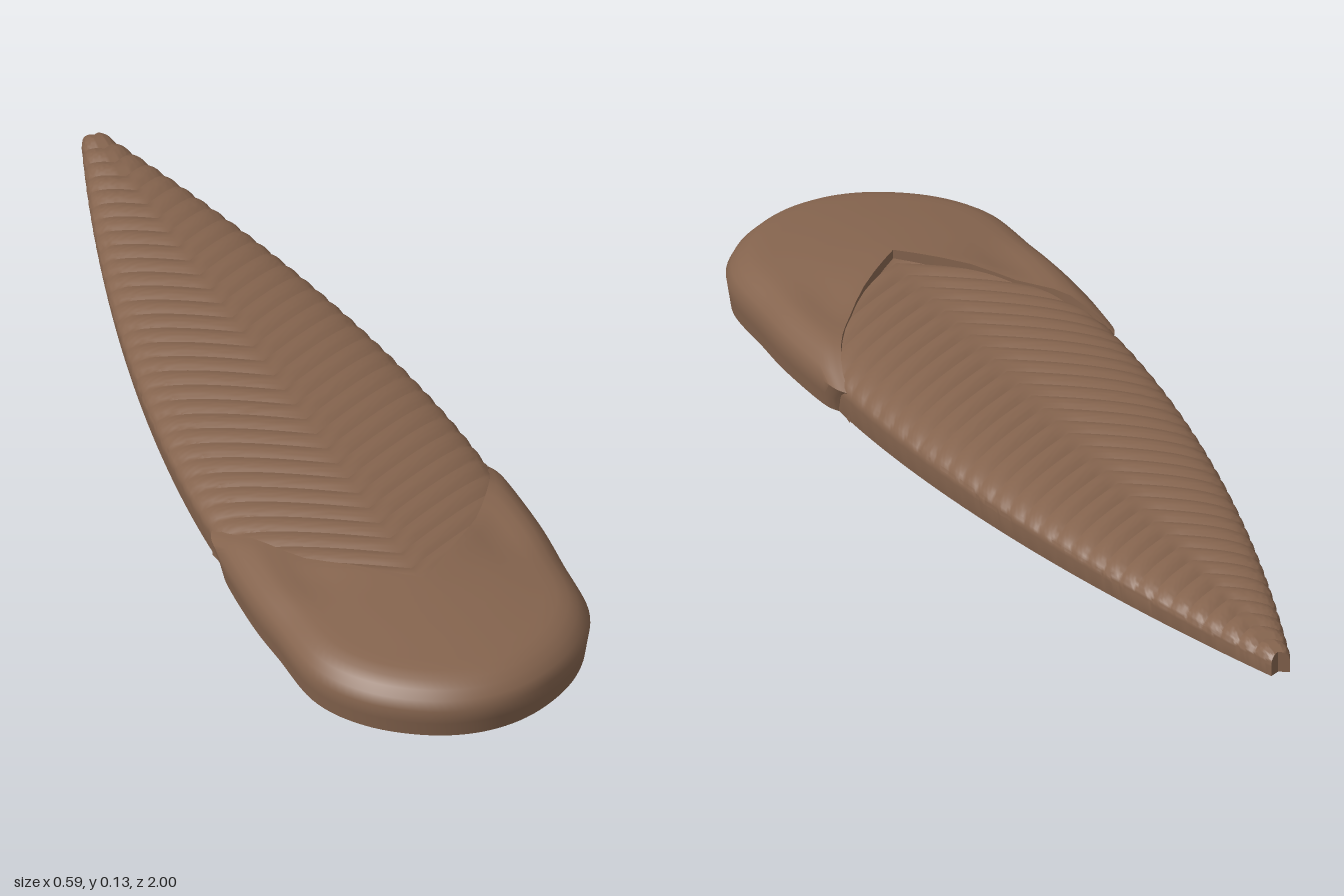
import * as THREE from 'three';
import { toCreasedNormals } from 'three/addons/utils/BufferGeometryUtils.js';

// Skin a grid of rows of [x, y, z] points
function skin(rows, crease) {
  const n = rows[0].length, index = [];
  for (let r = 0; r < rows.length - 1; r++) {
    for (let c = 0; c < n - 1; c++) {
      const a = r * n + c, b = a + n;
      index.push(a, b, a + 1, b, b + 1, a + 1);
    }
  }
  const g = new THREE.BufferGeometry();
  g.setAttribute('position', new THREE.Float32BufferAttribute(rows.flat(2), 3));
  g.setIndex(index);
  return toCreasedNormals(g, crease);
}

const flatten = row => row.map(([x, , z]) => [x, 0, z]);

// Ribbed tail: V-shaped rows, so each rib follows a row
function bodyGeometry() {
  const slope = 0.6, pitch = 0.052, steps = 8, front = 0.7, back = -0.988;
  const width = z => 0.02 + 0.257 * (1 - Math.pow(Math.max(0, 1 - (z + 1) / 1.3), 1.74));
  const height = z => 0.043 + 0.066 * (1 - Math.pow(Math.max(0, 1 - (z + 1) / 1.7), 1.9));
  const count = Math.round((front - back) / pitch) * steps, arc = 16;
  const rows = [];
  for (let i = 0; i <= count; i++) {
    const c = front + (back - front) * i / count;
    let w = 0.02;
    for (let k = 0; k < 12; k++) w = width(c - slope * w);
    const h = height(c - slope * w * 0.4);
    const rib = Math.sin(Math.PI * (i % steps) / steps) - 0.4;
    const half = [[0, 0], [0.97 * w, 0]];
    for (let k = 0; k <= arc; k++) {
      const a = Math.PI / 2 * k / arc;
      const x = Math.pow(Math.max(0, Math.cos(a)), 0.8), y = Math.pow(Math.sin(a), 0.8);
      half.push([x * (w + 0.002 * rib), h * (0.45 + 0.55 * y) + 0.006 * rib * y]);
    }
    half[half.length - 1][0] = 0;
    const ring = half.concat(half.slice(0, -1).reverse().map(([x, y]) => [-x, y]));
    rows.push(ring.map(([x, y]) => [x, y, c - slope * Math.abs(x)]));
  }
  // Close both ends
  rows.unshift(flatten(rows[0]));
  rows.push(flatten(rows[rows.length - 1]));
  return skin(rows, 0.55);
}

// Horseshoe head: outline shrunk in rings toward the middle of its back edge
function headGeometry() {
  const cz = 0.66;
  const side = [[0.272, 0.28], [0.29, 0.33], [0.296, 0.5], [0.29, 0.63], [0.278, 0.79], [0.215, 0.9], [0.11, 0.975]];
  const points = [...side.map(([x, z]) => [-x, z]), [0, 1], ...side.slice().reverse()];
  const outline = new THREE.SplineCurve(points.map(p => new THREE.Vector2(...p))).getPoints(96);
  // Ring scale and height
  const rings = [[0, 0], [0.97, 0], [0.985, 0.03], [1, 0.06], [0.97, 0.078], [0.925, 0.092], [0.87, 0.103], [0.8, 0.109],
    [0.72, 0.112], [0.63, 0.115], [0.52, 0.119], [0.4, 0.122], [0.25, 0.125], [0.12, 0.127], [0, 0.128]];
  const rows = outline.map(p => rings.map(([f, y], i) => {
    const rear = THREE.MathUtils.smoothstep(0.75 - p.y, 0, 0.35);
    const dip = i > 6 ? 0.01 * rear * Math.exp(-Math.pow((f - 0.63) / 0.15, 2)) : 0;
    const pull = p.y < cz ? Math.pow(1 - f, 0.6) : 1 - f;
    return [p.x * f, y - dip, p.y + (cz - p.y) * pull];
  }));
  // Back wall under the rim
  rows.unshift(flatten(rows[0]));
  rows.push(flatten(rows[rows.length - 1]));
  return skin(rows, 0.8);
}

export function createModel() {
  const group = new THREE.Group();
  group.name = 'segmentedCreature';
  const brown = new THREE.MeshStandardMaterial({ color: 0x85644e });
  brown.name = 'brown';
  const add = (name, geometry) => {
    const mesh = new THREE.Mesh(geometry, brown);
    mesh.name = name;
    group.add(mesh);
  };
  add('ribbedBody', bodyGeometry());
  add('headShield', headGeometry());
  return group;
}
